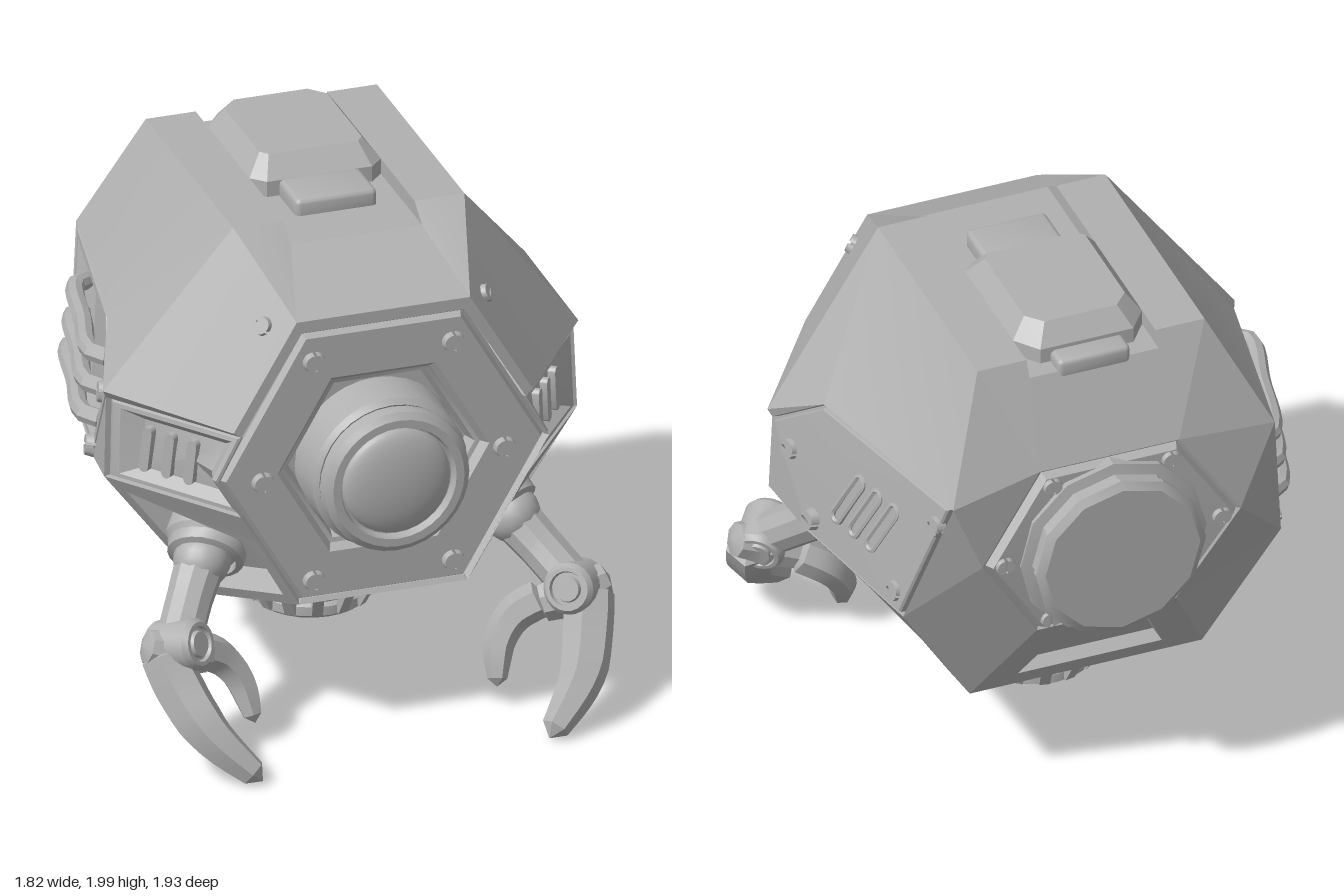
import * as THREE from 'three';
import { toCreasedNormals } from 'three/addons/utils/BufferGeometryUtils.js';
import { RoundedBoxGeometry } from 'three/addons/geometries/RoundedBoxGeometry.js';

const grey = new THREE.MeshStandardMaterial({ color: 0xb0b0b0, side: THREE.DoubleSide });
grey.name = 'plainGrey';
const V = (x, y, z) => new THREE.Vector3(x, y, z);
const mir = (p) => V(-p.x, p.y, p.z);
const UP = V(0, 1, 0);

function add(parent, name, geo, pos, dir) {
  const mesh = new THREE.Mesh(toCreasedNormals(geo, 0.5), grey);
  mesh.name = name;
  if (pos) mesh.position.copy(pos);
  if (dir) mesh.quaternion.setFromUnitVectors(UP, dir.clone().normalize());
  parent.add(mesh);
  return mesh;
}

// Flat panel from a loop of corners; each step is [scale about centre, depth along the normal]
function facet(parent, name, loop, steps = []) {
  const c = V(0, 0, 0), n = V(0, 0, 0);
  loop.forEach((p, i) => {
    const q = loop[(i + 1) % loop.length];
    c.addScaledVector(p, 1 / loop.length);
    n.add(p.clone().cross(q));
  });
  n.normalize();
  if (n.dot(c.clone().sub(V(0, 1.15, 0))) < 0) { loop = [...loop].reverse(); n.negate(); }
  const out = [];
  let last = loop;
  for (const [s, d] of steps) {
    const next = loop.map((p) => p.clone().sub(c).multiplyScalar(s).add(c).addScaledVector(n, d));
    last.forEach((p, i) => {
      const j = (i + 1) % loop.length;
      out.push(p, last[j], next[j], p, next[j], next[i]);
    });
    last = next;
  }
  const mid = V(0, 0, 0);
  last.forEach((p) => mid.addScaledVector(p, 1 / last.length));
  last.forEach((p, i) => out.push(p, last[(i + 1) % last.length], mid));
  add(parent, name, new THREE.BufferGeometry().setFromPoints(out));
}

// Turned part: [radius, height] pairs along dir
const turned = (parent, name, pts, pos, dir, sides = 32) =>
  add(parent, name, new THREE.LatheGeometry(pts.map((p) => new THREE.Vector2(...p)), sides), pos, dir);

// Tapered limb swept along points
function limb(parent, name, pts, radii, sides = 8) {
  const curve = new THREE.CatmullRomCurve3(pts), seg = 14;
  const geo = new THREE.TubeGeometry(curve, seg, 1, sides);
  const pos = geo.attributes.position, v = V(0, 0, 0);
  for (let i = 0; i < pos.count; i++) {
    const k = Math.floor(i / (sides + 1)), t = k / seg;
    const f = t * (radii.length - 1), a = Math.min(Math.floor(f), radii.length - 2);
    const r = k === 0 || k === seg ? 0 : THREE.MathUtils.lerp(radii[a], radii[a + 1], f - a);
    const p = curve.getPointAt(t);
    v.fromBufferAttribute(pos, i).sub(p).multiplyScalar(r).add(p);
    pos.setXYZ(i, v.x, v.y, v.z);
  }
  add(parent, name, geo);
}

// Slotted screw: two half discs with a gap
function screw(parent, pos, dir, r = 0.04) {
  const g = new THREE.Group();
  g.name = 'screw';
  for (const s of [0, 1]) {
    const half = add(g, 'screwHalf', new THREE.CylinderGeometry(r * 0.8, r, 0.035, 12, 1, false, s * Math.PI, Math.PI));
    half.position.set(s ? -0.005 : 0.005, 0.005, 0);
  }
  g.position.copy(pos);
  g.quaternion.setFromUnitVectors(UP, dir.clone().normalize());
  parent.add(g);
}

// Plane of the side panels: x from z and y
const sideX = (z, y) => 0.85 + 0.23 * z - 0.12 * (y - 1.2);
const onSide = (z, y) => V(sideX(z, y), y, z);
const sideNormal = V(1, 0.12, -0.23);

function buildBody(body) {
  const A = V(0.31, 1.65, 0.69), B = V(0.54, 1.27, 0.69), C = V(0.63, 1.1, 0.69), C2 = V(0.54, 0.95, 0.69);
  const G = V(0.47, 0.84, 0.69), H = V(0.32, 0.57, 0.69);
  const A2 = V(0.33, 1.695, 0.69), B2 = V(0.57, 1.29, 0.69), S0 = V(0.905, 1.3, 0.22);
  const T1 = V(0.44, 1.92, 0.31), T2 = V(0.44, 1.92, -0.65);
  const R1 = V(0.25, 1.92, 0.31), R2 = V(0.25, 1.92, -0.65), N1 = V(0.25, 1.86, 0.394), N2 = V(0.25, 1.86, -0.68);
  const S1 = onSide(0.21, 1.27), S2 = V(0.9, 0.96, 0.22);
  const P1 = V(0.795, 1.47, -0.05), P3 = onSide(-0.66, 0.92), P4 = V(0.855, 0.92, -0.03);
  const K1 = V(0.27, 1.55, -0.83), K2 = V(0.5, 1.2, -0.85), K3 = V(0.27, 0.83, -0.8);
  const D1 = V(0.52, 0.46, 0.28), D2 = V(0.45, 0.465, -0.6);
  const M4 = P4.clone().lerp(D1, 0.42), M3 = P3.clone().lerp(D2, 0.42);
  const seam = [[0.97, -0.02], [0.94, 0]];

  for (const m of [(p) => p, mir]) {
    const f = (name, pts, steps) => facet(body, name, pts.map(m), steps);
    const P2 = m === mir ? V(0.66, 1.49, -0.78) : onSide(-0.86, 1.49);
    f('topRail', [T1, T2, R2, R1]);
    f('grooveWall', [R1, N1, N2, R2]);
    f('frontRail', [A2, T1, R1, N1]);
    f('backRail', [T2, R2, N2, K1]);
    f('upperShellFront', [A2, T1, S0, B2]);
    f('upperShellSide', [T1, P1, S0]);
    f('upperShellBack', [T1, T2, P2, P1]);
    f('shellFrontRim', [A, A2, B2, B]);
    f('shellLip', [B, B2, S0, S1]);
    f('shellSideLip', [S1, S0, P1]);
    f('cheek', [B, S1, S2, C2, C], [[0.97, -0.02], [0.92, -0.005], [0.82, -0.005], [0.6, -0.05]]);
    f('cheekLower', [C2, S2, G]);
    f('armAlcove', [G, S2, D1, H], [[0.8, 0], [0.7, -0.09]]);
    f('sideCorner', [S1, P4, S2]);
    f('lowerSideFront', [S2, P4, D1]);
    f('lowerSideUpper', [P4, P3, M3, M4]);
    f('lowerSideHatch', [M4, M3, D2, D1], [[0.66, 0], [0.63, -0.035]]);
    f('backCornerLow', [P3, D2, K3]);
    f('backCornerMid', [P3, K3, K2]);
    f('backCornerSide', [P2, P3, K2]);
    f('backCornerHigh', [P2, K2, K1]);
    f('backShell', [T2, P2, K1]);
    // Open bay for louvres on one side, a raised plate on the other
    const bay = m === mir ? [[0.97, -0.02], [0.94, 0], [0.86, 0], [0.8, -0.07]] : [[0.985, -0.03], [0.97, -0.03], [0.96, 0], [0.945, 0.008]];
    f('sideBay', [S1, P1, P2, P3, P4], bay);
  }
  // Centre panels that span both halves
  const span = (name, a, b, steps) => facet(body, name, [a, b, mir(b), mir(a)], steps);
  span('frontSlope', N1, A2);
  span('shellFrontRim', A2, A);
  span('grooveFloor', N1, N2);
  span('backSlope', N2, K1);
  span('backLower', K3, D2, [[0.62, 0], [0.58, -0.05]]);
  span('underside', D1, D2);
  span('chin', H, D1, seam);
  facet(body, 'frontHexPlate', [A, C, H, mir(H), mir(C), mir(A)],
    [[0.975, -0.025], [0.95, 0], [0.64, 0], [0.6, -0.03], [0.57, -0.035], [0.54, -0.09]]);
  facet(body, 'backHexPlate', [K1, K2, K3, mir(K3), mir(K2), mir(K1)], [[0.97, -0.01], [0.93, 0.02]]);
}

// Pill outline
function capsule(u, v, halfLen, r, tilt) {
  const s = new THREE.Shape(), dx = Math.sin(tilt) * halfLen, dy = Math.cos(tilt) * halfLen;
  s.absarc(u + dx, v + dy, r, -tilt, Math.PI - tilt, false);
  s.absarc(u - dx, v - dy, r, Math.PI - tilt, Math.PI * 2 - tilt, false);
  s.closePath();
  return s;
}

// Three slanted slot rims and the screws on the +x plate
function buildSidePlate(g) {
  for (let i = 0; i < 3; i++) {
    const pts = capsule(0.275 + i * 0.105, 1.2, 0.115, 0.024, 0.48).getSpacedPoints(28).slice(0, -1)
      .map((p) => onSide(-p.x, p.y).addScaledVector(sideNormal, 0.001));
    add(g, 'slotRim', new THREE.TubeGeometry(new THREE.CatmullRomCurve3(pts, true), 56, 0.011, 6, true));
  }
  for (const [z, y] of [[0.08, 1.21], [-0.08, 1], [-0.6, 1], [-0.78, 1.38]]) screw(g, onSide(z, y), sideNormal);
}

// Three bent louvre bars on the -x side
function buildLouvres(g) {
  for (const y of [1.08, 1.2, 1.32]) {
    const pts = [[-0.66, -0.07], [-0.62, 0.015], [-0.3, 0.03], [-0.05, 0.025], [0, -0.07]]
      .map(([z, d]) => mir(onSide(z, y).addScaledVector(sideNormal, d)));
    limb(g, 'louvreBar', pts, [0.035, 0.035], 8);
  }
  for (const [z, y] of [[0.08, 1.23], [-0.05, 0.96], [-0.6, 0.96]])
    screw(g, mir(onSide(z, y).addScaledVector(sideNormal, -0.01)), mir(sideNormal));
}

function buildArm() {
  const arm = new THREE.Group();
  const dir = V(0.32, -0.4, 0.5), elbow = V(0.755, 0.445, 0.62), axis = V(-0.6, 0.3, 0.75);
  turned(arm, 'shoulderSleeve', [[0, -0.1], [0.16, -0.1], [0.16, -0.01], [0.145, 0.01], [0.14, 0.05], [0.115, 0.06], [0.11, 0.03], [0, 0.03]],
    V(0.55, 0.69, 0.35), dir, 20);
  add(arm, 'shoulderBall', new THREE.SphereGeometry(0.105, 16, 12), V(0.59, 0.66, 0.4));
  limb(arm, 'upperArm', [V(0.57, 0.68, 0.37), V(0.66, 0.57, 0.48), V(0.76, 0.44, 0.62)], [0.095, 0.085, 0.085], 10);
  // Elbow drum with a ringed cap at both ends
  turned(arm, 'elbowJoint', [[0, -0.1], [0.045, -0.1], [0.05, -0.085], [0.06, -0.085], [0.065, -0.1], [0.08, -0.1], [0.095, -0.08], [0.095, 0.08], [0.08, 0.1], [0.065, 0.1], [0.06, 0.085], [0.05, 0.085], [0.045, 0.1], [0, 0.1]],
    elbow, axis, 20);
  limb(arm, 'knuckle', [V(0.89, 0.46, 0.61), V(0.77, 0.42, 0.61), V(0.63, 0.37, 0.57)], [0.06, 0.09, 0.07], 8);
  // Large outer finger and small inner finger
  limb(arm, 'outerFinger', [V(0.82, 0.45, 0.6), V(0.78, 0.32, 0.69), V(0.71, 0.18, 0.82), V(0.545, 0.015, 0.94)], [0.09, 0.095, 0.09, 0.07, 0.045], 6);
  limb(arm, 'innerFinger', [V(0.67, 0.39, 0.55), V(0.56, 0.32, 0.52), V(0.495, 0.23, 0.54), V(0.46, 0.085, 0.61)], [0.07, 0.07, 0.062, 0.052, 0.03], 6);
  return arm;
}

export function createModel() {
  const model = new THREE.Group();
  const body = new THREE.Group();
  body.name = 'body';
  buildBody(body);
  buildSidePlate(body);
  buildLouvres(body);
  model.add(body);

  // Front eye
  turned(model, 'eyeBarrel', [[0.31, 0.56], [0.3, 0.68], [0.295, 0.76], [0.275, 0.78], [0.265, 0.77], [0.265, 0.79], [0.28, 0.8], [0.275, 0.84], [0.25, 0.86], [0.22, 0.86], [0.21, 0.83], [0, 0.83]],
    V(0, 1.08, 0), V(0, 0, 1));
  const lens = add(model, 'eyeLens', new THREE.SphereGeometry(0.205, 32, 12, 0, Math.PI * 2, 0, Math.PI / 2), V(0, 1.08, 0.83), V(0, 0, 1));
  lens.scale.y = 0.28;

  // Rear hatch
  turned(model, 'rearHatch', [[0.36, 0.82], [0.36, 0.87], [0.32, 0.88], [0.32, 0.91], [0.33, 0.92], [0.33, 0.94], [0.3, 0.96], [0, 0.96]],
    V(0, 1.18, 0), V(0, 0, -1), 12);

  // Lower thruster with a ribbed cage
  const base = V(0, 0, -0.11);
  turned(model, 'thrusterCollar', [[0.39, 0.5], [0.38, 0.42], [0.32, 0.345], [0.28, 0.345], [0.25, 0.33], [0.19, 0.25]], base, null, 28);
  turned(model, 'thrusterCap', [[0.19, 0.27], [0.215, 0.25], [0.215, 0.215], [0.195, 0.2], [0, 0.2]], base, null, 24);
  for (let i = 0; i < 14; i++) {
    const a = (i / 14) * Math.PI * 2;
    const rib = add(model, 'cageRib', new THREE.BoxGeometry(0.03, 0.15, 0.04), V(Math.cos(a) * 0.245, 0.29, -0.11 + Math.sin(a) * 0.245));
    rib.rotation.set(0, -a, -0.5, 'YXZ');
  }

  // Top lid: bevelled block narrowing upward, with front latch and rear hinge
  const lid = new THREE.Group();
  lid.name = 'topLid';
  const low = [[0.2, -0.01], [0.25, -0.06], [0.25, -0.52], [0.18, -0.61]], high = [[0.17, -0.08], [0.195, -0.11], [0.195, -0.49], [0.14, -0.55]];
  const ring = (half, y) => [...half.map(([x, z]) => V(x, y, z)), ...[...half].reverse().map(([x, z]) => V(-x, y, z))];
  const bottom = ring(low, 1.85), brim = ring(low, 1.92), top = ring(high, 1.995);
  for (const [a, b] of [[bottom, brim], [brim, top]])
    a.forEach((p, i) => { const j = (i + 1) % a.length; facet(lid, 'lidSide', [p, a[j], b[j], b[i]]); });
  facet(lid, 'lidTop', top);
  add(lid, 'lidLatch', new RoundedBoxGeometry(0.31, 0.09, 0.2, 2, 0.02), V(0, 1.878, 0.08));
  add(lid, 'lidHinge', new RoundedBoxGeometry(0.28, 0.08, 0.1, 2, 0.02), V(0, 1.865, -0.64));
  model.add(lid);

  // Cheek vent slats, face screws and arms, mirrored
  for (const s of [1, -1]) {
    for (let i = 0; i < 3; i++) {
      const geo = new THREE.ExtrudeGeometry(capsule(0, 0, 0.07, 0.02, 0), { depth: 0.03, bevelEnabled: false, curveSegments: 5 });
      const slat = add(model, 'cheekSlat', geo, V(s * (0.645 + i * 0.058), 1.1, 0.475 - i * 0.078));
      slat.rotation.set(0, s * 0.93, s * 0.12, 'YXZ');
    }
    for (const [x, y] of [[0.265, 1.53], [0.46, 1.08], [0.265, 0.66]]) screw(model, V(s * x, y, 0.692), V(0, 0, 1));
    screw(model, V(s * 0.42, 1.65, 0.59), V(s * 0.72, 0.42, 0.55), 0.035);
    for (const [x, y, z] of [[0.23, 1.49, 0.845], [0.42, 1.2, 0.86], [0.23, 0.89, 0.82]]) screw(model, V(s * x, y, -z), V(0, 0, -1), 0.035);
    const arm = buildArm();
    arm.name = s > 0 ? 'leftArm' : 'rightArm';
    arm.scale.x = s;
    model.add(arm);
  }
  return model;
}
